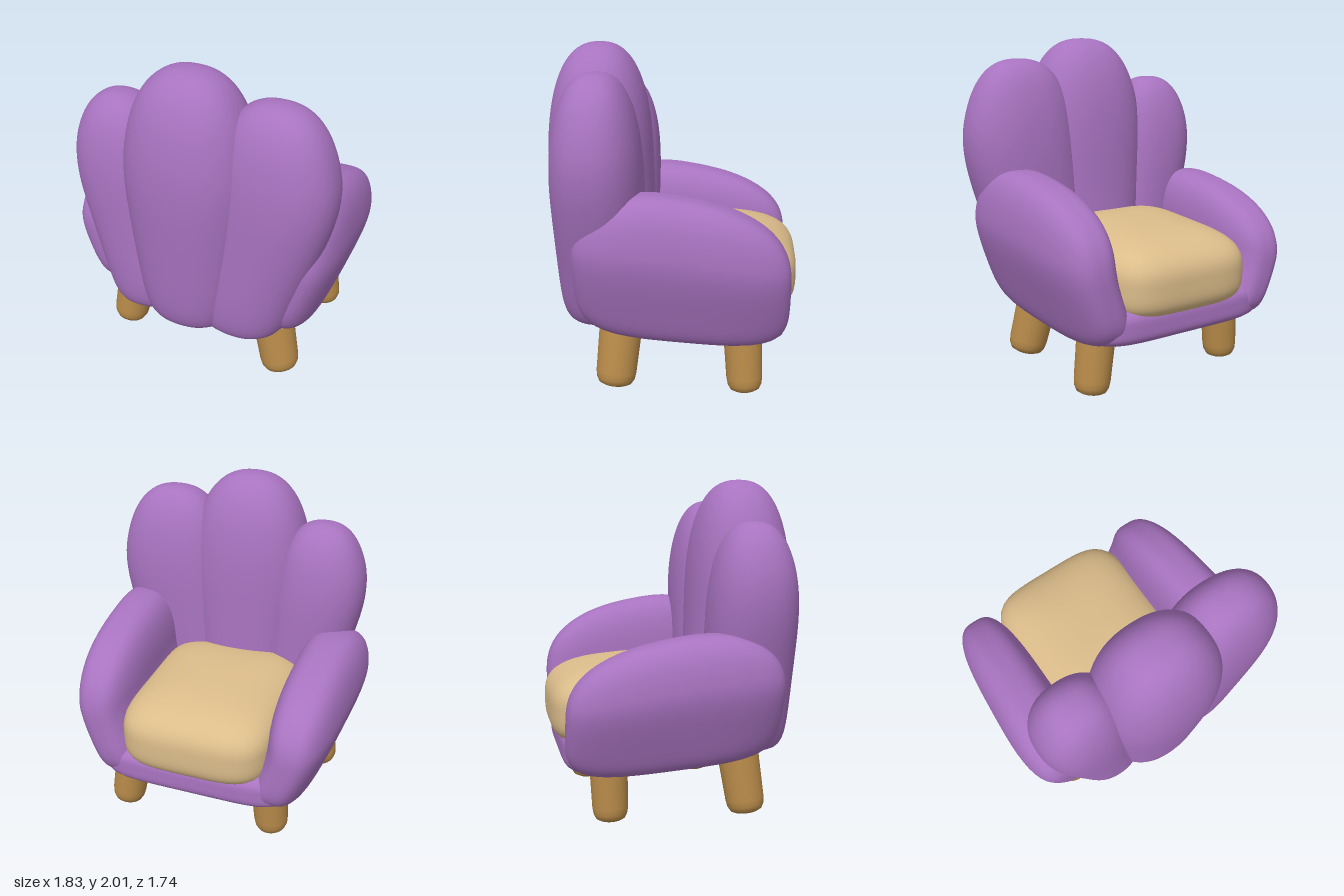
import * as THREE from 'three';
import { mergeVertices } from 'three/addons/utils/BufferGeometryUtils.js';

const material = (name, color) => {
  const m = new THREE.MeshStandardMaterial({ color });
  m.name = name;
  return m;
};

// Pulls a point (a, b) onto a unit superellipse of exponent n
const squircle = (a, b, n) => (Math.abs(a) ** n + Math.abs(b) ** n) ** (-1 / n);

// Stuffed soft block: unit sphere squared off in plan and in height, then shaped by a rule
function puff({ plan, top, bottom }, rule) {
  let geo = new THREE.SphereGeometry(1, 72, 56);
  geo.deleteAttribute('uv');
  geo.deleteAttribute('normal');
  geo = mergeVertices(geo, 1e-5);
  const pos = geo.attributes.position;
  const p = new THREE.Vector3();
  for (let i = 0; i < pos.count; i++) {
    p.fromBufferAttribute(pos, i);
    const h = Math.hypot(p.x, p.z);
    const k = squircle(h, p.y, p.y > 0 ? top : bottom);
    const r = h > 1e-6 ? squircle(p.x / h, p.z / h, plan) : 1;
    p.set(p.x * k * r, p.y * k, p.z * k * r);
    rule(p);
    pos.setXYZ(i, p.x, p.y, p.z);
  }
  geo.computeVertexNormals();
  return geo;
}

const lerp = THREE.MathUtils.lerp;
const smooth = THREE.MathUtils.smoothstep;
const underside = z => 0.342 + 0.085 * z; // the base is lower at the seat's front

export function createModel() {
  const purple = material('purple upholstery', 0xa873c0);
  const tan = material('tan cushion', 0xdbbc8a);
  const wood = material('wood', 0xb78a49);

  const model = new THREE.Group();
  model.name = 'armchair';
  const body = new THREE.Group();
  body.name = 'upholstery';
  body.rotation.y = -0.384; // the chair stands turned, its seat facing -z
  model.add(body);
  const add = (parent, name, geo, mat) => {
    const mesh = new THREE.Mesh(geo, mat);
    mesh.name = name;
    parent.add(mesh);
    return mesh;
  };

  // Base under the seat, kept inside the arms and back
  add(body, 'base', puff({ plan: 6, top: 4, bottom: 4 }, p => {
    const z = -0.05 + p.z * 0.64;
    const low = underside(z) - 0.005;
    p.set(p.x * 0.64, lerp(low, low + 0.28, (p.y + 1) / 2), z);
  }), purple);

  // Arms: wider and higher towards the back, drawn in at the bottom
  for (const [side, name, height] of [[1, 'leftArm', 1.245], [-1, 'rightArm', 1.135]]) {
    add(body, name, puff({ plan: 3.1, top: 2.8, bottom: 5 }, p => {
      const back = (p.z + 1) / 2;
      const t = (p.y + 1) / 2;
      const z = -0.07 + p.z * 0.62;
      const crest = height - 0.2 * (1 - smooth(back, -0.35, 0.8));
      const x = lerp(0.605, 0.65, back) + side * p.x * lerp(0.185, 0.225, back);
      const tuck = 0.12 * (1 - smooth(t, 0, 0.65));
      p.set(side * (x - tuck), lerp(underside(z), crest, t), z);
    }), purple);
  }

  // Seat cushion with a bulging front
  add(body, 'seatCushion', puff({ plan: 4.5, top: 2.8, bottom: 4 }, p => {
    const z = -0.2 + p.z * 0.54;
    p.set(p.x * 0.48, 0.685 + p.y * 0.235 + 0.07 * (z + 0.2), z);
  }), tan);

  // Back lobes, fanning out upwards: centre x at foot and head, z at foot and head, radii, top
  const lobes = [
    ['backLobeCentre', 0, 0.01, 0.43, 0.475, 0.4, 0.32, 2.0],
    ['backLobeLeft', 0.31, 0.505, 0.42, 0.42, 0.375, 0.265, 1.88],
    ['backLobeRight', -0.31, -0.48, 0.42, 0.42, 0.305, 0.265, 1.745],
  ];
  for (const [name, foot, head, footZ, headZ, rx, rz, height] of lobes) {
    add(body, name, puff({ plan: 2.3, top: 2.5, bottom: 7 }, p => {
      const y = lerp(0.375, height, (p.y + 1) / 2);
      const s = smooth(y, 0.2, 1.5);
      p.set(lerp(foot, head, s) + p.x * rx * lerp(0.76, 1, s), y,
        lerp(footZ, headZ, s) + p.z * rz * lerp(0.97, 1, s));
    }), purple);
  }

  // Splayed legs with rounded feet: foot and top positions, radius
  const legs = [
    ['backRightLeg', [-0.655, 0.045, 0.14], [-0.58, 0.46, 0.115], 0.116],
    ['frontRightLeg', [-0.26, 0.02, -0.56], [-0.23, 0.46, -0.56], 0.107],
    ['backLeftLeg', [0.375, 0.015, 0.515], [0.295, 0.46, 0.44], 0.123],
    ['frontLeftLeg', [0.66, 0.005, -0.21], [0.585, 0.46, -0.21], 0.109],
  ];
  for (const [name, footAt, topAt, r] of legs) {
    const foot = new THREE.Vector3(...footAt);
    const axis = new THREE.Vector3(...topAt).sub(foot);
    const profile = [[0, 0], [0.6, 0], [0.8, 0.012], [0.93, 0.04], [0.98, 0.08], [1.07, axis.length()]]
      .map(([x, y]) => new THREE.Vector2(x * r, y));
    const leg = add(model, name, new THREE.LatheGeometry(profile, 32), wood);
    leg.position.copy(foot);
    leg.quaternion.setFromUnitVectors(new THREE.Vector3(0, 1, 0), axis.normalize());
  }
  return model;
}
